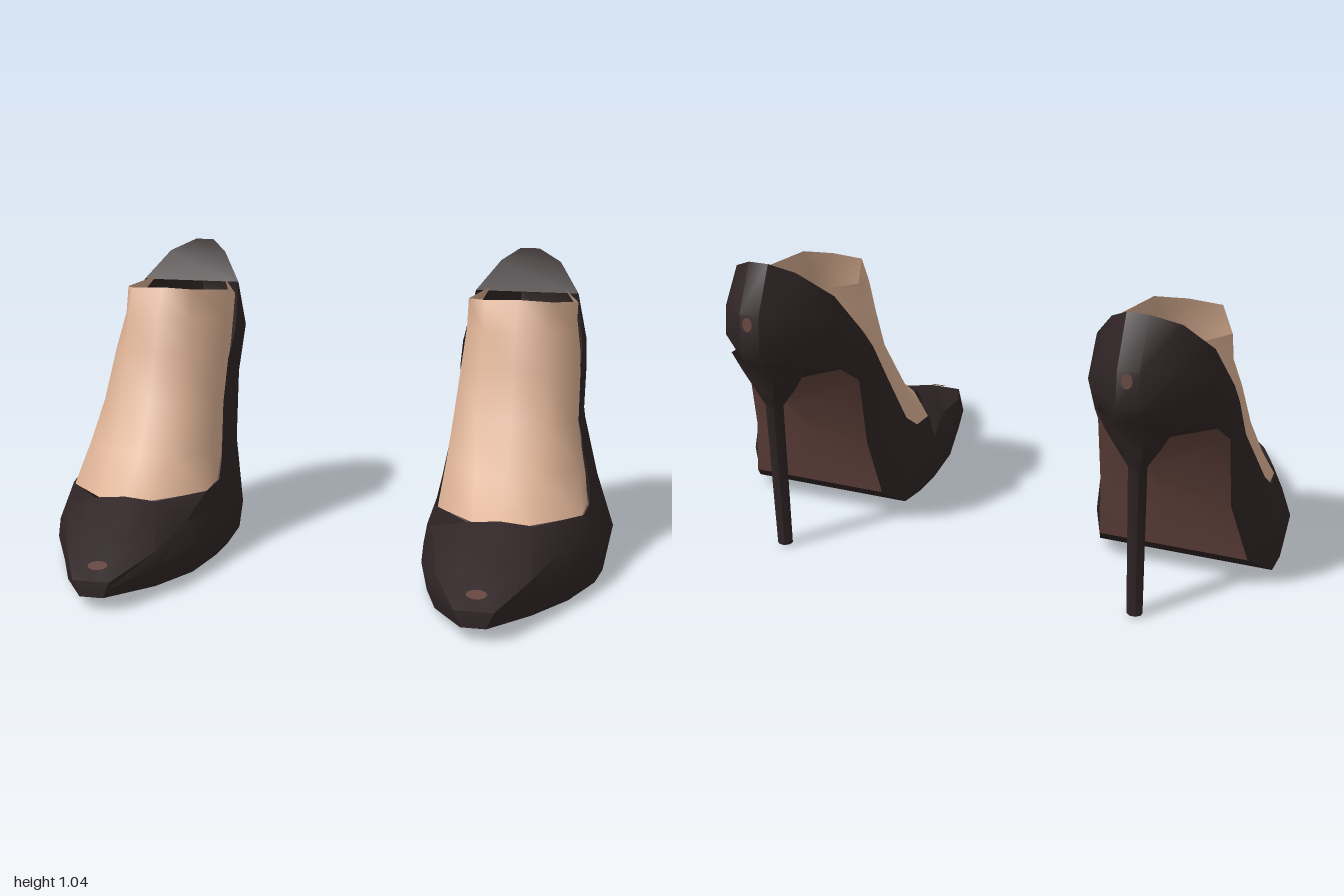
import * as THREE from 'three';
import { mergeGeometries, toCreasedNormals } from 'three/addons/utils/BufferGeometryUtils.js';

const material = (name, color) => {
  const m = new THREE.MeshStandardMaterial({ color, side: THREE.DoubleSide });
  m.name = name;
  return m;
};

// Cross-sections from toe to heel: base, middle and top points as [z, y, innerX, outerX]
const stations = [
  [[0.72, 0.045, 0.58, 0.66], [0.72, 0.07, 0.57, 0.67], [0.715, 0.10, 0.60, 0.645]],
  [[0.52, 0.025, 0.47, 0.78], [0.52, 0.10, 0.45, 0.79], [0.52, 0.165, 0.55, 0.71]],
  [[0.30, 0.005, 0.41, 0.88], [0.30, 0.10, 0.39, 0.90], [0.30, 0.25, 0.54, 0.76]],
  [[0.10, 0.003, 0.385, 0.955], [0.10, 0.10, 0.365, 0.975], [0.12, 0.245, 0.41, 0.91]],
  [[-0.03, 0.005, 0.38, 0.975], [-0.03, 0.13, 0.357, 0.99], [0.0, 0.255, 0.40, 0.925]],
  [[-0.17, 0.025, 0.375, 0.98], [-0.16, 0.13, 0.357, 1.0], [-0.07, 0.31, 0.41, 0.915]],
  [[-0.28, 0.105, 0.41, 0.92], [-0.22, 0.30, 0.39, 0.935], [-0.17, 0.50, 0.43, 0.865]],
  [[-0.34, 0.32, 0.43, 0.87], [-0.29, 0.48, 0.43, 0.87], [-0.26, 0.65, 0.435, 0.86]],
  [[-0.38, 0.57, 0.43, 0.865], [-0.36, 0.65, 0.42, 0.875], [-0.34, 0.735, 0.43, 0.86]],
  [[-0.47, 0.64, 0.45, 0.845], [-0.47, 0.74, 0.425, 0.865], [-0.48, 0.90, 0.455, 0.83]],
  [[-0.57, 0.66, 0.53, 0.76], [-0.62, 0.77, 0.49, 0.79], [-0.58, 1.0, 0.535, 0.755]],
  [[-0.65, 0.65, 0.59, 0.68], [-0.725, 0.76, 0.60, 0.67], [-0.64, 1.04, 0.60, 0.67]],
];

// Foot sections from ankle to instep: front, side and back points, same layout
const footRows = [
  [[-0.14, 0.92, 0.53, 0.76], [-0.32, 0.895, 0.45, 0.84], [-0.48, 0.915, 0.51, 0.78]],
  [[-0.09, 0.82, 0.53, 0.76], [-0.29, 0.80, 0.45, 0.84], [-0.45, 0.86, 0.46, 0.825]],
  [[-0.05, 0.70, 0.53, 0.76], [-0.20, 0.68, 0.445, 0.85], [-0.32, 0.71, 0.44, 0.855]],
  [[0.02, 0.52, 0.53, 0.77], [-0.09, 0.51, 0.435, 0.86], [-0.19, 0.50, 0.435, 0.86]],
  [[0.13, 0.37, 0.54, 0.76], [0.0, 0.37, 0.425, 0.885], [-0.10, 0.33, 0.42, 0.90]],
  [[0.30, 0.25, 0.56, 0.74], [0.12, 0.24, 0.415, 0.905], [-0.01, 0.25, 0.41, 0.915]],
];

const inner = ([z, y, x]) => [x, y, z];
const outer = ([z, y, , x]) => [x, y, z];

// Surface through rows of points; side -1 mirrors it and keeps it facing outwards
function loft(rows, side) {
  const grid = rows.map((r) => {
    const row = r.map(([x, y, z]) => [x * side, y, z]);
    return side < 0 ? row.reverse() : row;
  });
  const pos = [];
  for (let i = 0; i < grid.length - 1; i++) {
    for (let j = 0; j < grid[i].length - 1; j++) {
      const a = grid[i][j], b = grid[i][j + 1], c = grid[i + 1][j], d = grid[i + 1][j + 1];
      pos.push(...a, ...b, ...c, ...b, ...d, ...c);
    }
  }
  const g = new THREE.BufferGeometry();
  g.setAttribute('position', new THREE.Float32BufferAttribute(pos, 3));
  return g;
}

function createShoe(side, mats) {
  const shoe = new THREE.Group();
  const add = (name, parts, mat, crease = 0.7) => {
    const geometry = toCreasedNormals(mergeGeometries(parts), crease);
    const mesh = new THREE.Mesh(geometry, mat);
    mesh.name = name;
    shoe.add(mesh);
  };

  // Side walls, with a rounded shoulder added between middle and top
  const walls = stations.map(([b, m, t], i) => {
    const s = m.map((v, k) => v + (t[k] - v) * 0.45);
    if (i > 9) s[0] -= 0.03;
    if (i < 3) {
      s[1] += 0.015;
      s[2] -= 0.025;
      s[3] += 0.025;
    }
    return [b, m, s, t];
  });
  const left = walls.map((w) => w.map(inner));
  const right = walls.map((w) => w.map(outer).reverse());
  const toe = [0, 1, 2].map((i) => {
    const [z, y, xi, xo] = stations[i][2];
    return [left[i][3], [(xi + xo) / 2, y + (i ? 0.01 : 0), z], right[i][0]];
  });
  add('upper', [
    loft(left, side),
    loft(right, side),
    loft(toe, side),
    loft([[...right[0]].reverse(), left[0]], side), // toe tip
    loft([right[11], [...left[11]].reverse()], side), // heel back
  ], mats.upper);

  // Inner heel pad
  add('heelCounter', [loft([9, 10, 11].map((i) => [left[i][3], right[i][0]]), side)], mats.upper);

  // Underside: forefoot sole, arched shank and heel seat
  const archCentre = { 7: [0.32, -0.34], 8: [0.48, -0.46], 9: [0.58, -0.5] };
  const under = stations.map(([b], i) => {
    const [y, z] = archCentre[i] || [b[1], b[0]];
    return [outer(b), [(b[2] + b[3]) / 2, y, z], inner(b)];
  });
  add('sole', [loft(under.slice(0, 7), side)], mats.upper);
  add('shank', [loft(under.slice(6, 10), side)], mats.lining);
  add('heelSeat', [loft(under.slice(9), side)], mats.upper);

  // Slim heel: [y, z centre, half depth, half width]
  const heelRows = [
    [0.01, -0.582, 0.022, 0.024], [0.53, -0.597, 0.025, 0.028], [0.58, -0.585, 0.06, 0.06],
    [0.65, -0.59, 0.075, 0.10], [0.72, -0.61, 0.09, 0.12],
  ].map(([y, z, d, w]) => {
    const ring = [];
    for (let k = 0; k <= 8; k++) {
      const a = (k / 8) * Math.PI * 2 + Math.PI / 8;
      ring.push([0.635 + w * 1.08 * Math.cos(a), y, z + d * 1.08 * Math.sin(a)]);
    }
    return ring.reverse();
  });
  const tip = [heelRows[0].map(() => [0.635, 0.01, -0.582]), heelRows[0]];
  add('heel', [loft(heelRows, side), loft(tip, side)], mats.upper);

  // Foot and ankle, open at the top and behind
  const foot = footRows.map(([f, s, k]) => {
    const mid = [(f[2] + f[3]) / 2, f[1] + 0.005, f[0] + 0.005];
    return [inner(k), inner(s), inner(f), mid, outer(f), outer(s), outer(k)];
  }).reverse();
  add('foot', [loft(foot, side)], mats.skin, 1.2);

  // Small inlaid spots on toe and heel
  const spot = (name, x, y, z, rx, sx, sy) => {
    const mesh = new THREE.Mesh(new THREE.CircleGeometry(1, 10), mats.lining);
    mesh.name = name;
    mesh.scale.set(sx, sy, 1);
    mesh.rotation.x = rx;
    mesh.position.set(x * side, y, z);
    shoe.add(mesh);
  };
  spot('toeSpot', 0.62, 0.131, 0.655, -1.22, 0.034, 0.024);
  spot('heelSpot', 0.635, 0.86, -0.731, Math.PI + 0.12, 0.018, 0.024);
  return shoe;
}

export function createModel() {
  const mats = {
    upper: material('dark leather', 0x302526),
    lining: material('brown lining', 0x64443d),
    skin: material('skin', 0xdcb194),
  };
  const model = new THREE.Group();
  model.name = 'pairOfHighHeels';
  for (const side of [1, -1]) {
    const shoe = createShoe(side, mats);
    shoe.name = side > 0 ? 'leftShoe' : 'rightShoe';
    model.add(shoe);
  }
  return model;
}
